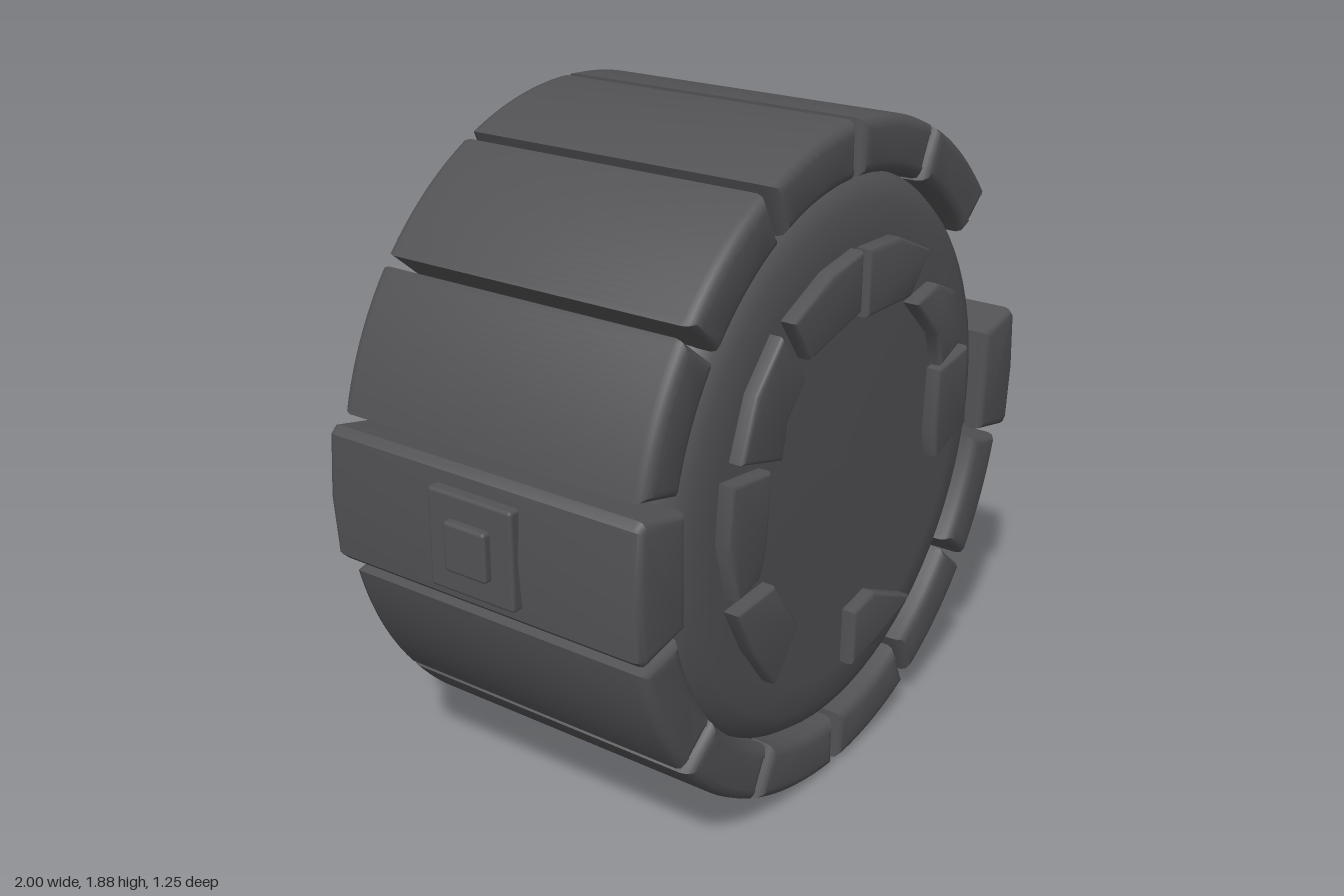
import * as THREE from 'three';
import { toCreasedNormals } from 'three/addons/utils/BufferGeometryUtils.js';
import { RoundedBoxGeometry } from 'three/addons/geometries/RoundedBoxGeometry.js';

const CY = 0.945; // height of the drum axis
const stone = new THREE.MeshStandardMaterial({ color: 0x525255 });
stone.name = 'dark stone';
const amber = new THREE.MeshStandardMaterial({ color: 0x9c8c58 });
amber.name = 'dull amber';

export function createModel() {
  const model = new THREE.Group();
  model.name = 'carvedStoneDrum';

  const add = (name, geometry, parent = model, material = stone) => {
    const mesh = new THREE.Mesh(geometry, material);
    mesh.name = name;
    parent.add(mesh);
    return mesh;
  };
  const group = (name) => {
    const g = new THREE.Group();
    g.name = name;
    model.add(g);
    return g;
  };
  const polygon = (points) => new THREE.Shape(points.map(([x, y]) => new THREE.Vector2(x, y)));
  // Slab with rounded edges, keeping its outline, between two z values
  const slab = (shape, z0, z1, bevel, rule = (x, y, z) => z) => {
    const geo = new THREE.ExtrudeGeometry(shape, {
      depth: z1 - z0 - 2 * bevel, bevelThickness: bevel, bevelSize: bevel,
      bevelOffset: -bevel, bevelSegments: 3, curveSegments: 10,
    });
    geo.translate(0, 0, z0 + bevel);
    const p = geo.attributes.position;
    for (let i = 0; i < p.count; i++) p.setZ(i, rule(p.getX(i), p.getY(i), p.getZ(i)));
    return toCreasedNormals(geo, 0.6);
  };

  // Drum core, turned around the z axis
  const profile = [[0, -0.395], [0.66, -0.39], [0.74, -0.375], [0.785, -0.345], [0.8, -0.3], [0.8, 0.44],
    [0.79, 0.5], [0.76, 0.54], [0.71, 0.562], [0.62, 0.572], [0, 0.575]];
  const core = new THREE.LatheGeometry(profile.map(([r, h]) => new THREE.Vector2(r, h)), 72);
  core.rotateX(Math.PI / 2);
  add('drumCore', core).position.y = CY;

  // Rim plates: fourteen places, two for the side blocks and one empty
  const rim = group('rimPlates');
  const half = Math.PI / 14 - 0.016;
  const sector = new THREE.Shape();
  sector.absarc(0, 0, 0.938, -half, half, false);
  sector.absarc(0, 0, 0.785, half, -half, true);
  const plateGeo = slab(sector, -0.385, 0.58, 0.032);
  for (let i = 2; i < 14; i++) {
    if (i === 7) continue;
    const plate = add('rimPlate', plateGeo, rim);
    plate.position.y = CY;
    plate.rotation.z = (i * Math.PI) / 7;
  }

  // Side blocks with stepped square bosses
  const blockGeo = slab(polygon([[0.76, -0.155], [0.92, -0.19], [0.942, -0.17], [0.955, 0],
    [0.942, 0.17], [0.92, 0.19], [0.76, 0.155]]), -0.41, 0.595, 0.025);
  for (const side of [1, -1]) {
    const block = group(side > 0 ? 'leftSideBlock' : 'rightSideBlock');
    block.position.y = CY;
    block.rotation.y = side > 0 ? 0 : Math.PI;
    const body = add('block', blockGeo, block);
    if (side < 0) body.position.z = -0.185;
    const z = 0.1 * side;
    add('squareBoss', new RoundedBoxGeometry(0.06, 0.27, 0.27, 2, 0.01), block).position.set(0.947, 0, z);
    add('squareBossCenter', new RoundedBoxGeometry(0.06, 0.135, 0.135, 2, 0.01), block).position.set(0.97, 0, z);
  }

  // Broken ring of tiles on the front
  const ring = group('frontTiles');
  [
    [[0.01, 1.55], [0.17, 1.545], [0.34, 1.47], [0.24, 1.36], [0.01, 1.365]],
    [[-0.02, 1.555], [-0.17, 1.53], [-0.345, 1.45], [-0.26, 1.33], [-0.02, 1.39]],
    [[-0.39, 1.43], [-0.5, 1.31], [-0.56, 1.15], [-0.38, 1.1], [-0.36, 1.2], [-0.28, 1.29]],
    [[-0.6, 1.11], [-0.615, 0.95], [-0.57, 0.785], [-0.47, 0.81], [-0.44, 0.9], [-0.43, 1.09]],
    [[-0.575, 0.75], [-0.5, 0.61], [-0.39, 0.465], [-0.28, 0.6], [-0.4, 0.76]],
    [[0.01, 0.335], [0.15, 0.35], [0.33, 0.42], [0.12, 0.52], [0.01, 0.5]],
    [[0.6, 1.115], [0.615, 0.87], [0.44, 0.82], [0.42, 0.9], [0.43, 1.09]],
    [[0.57, 1.15], [0.5, 1.31], [0.4, 1.355], [0.27, 1.33], [0.41, 1.2], [0.44, 1.1]],
  ].forEach((outline) => add('frontTile', slab(polygon(outline), 0.55, 0.615, 0.013), ring));

  // Brow ridge on the back face
  const face = group('carvedFace');
  const browOutline = [[0.56, 1.27], [0.3, 1.225], [0, 1.255], [-0.3, 1.25], [-0.46, 1.21], [-0.59, 1.1],
    [-0.5, 1.07], [-0.28, 1.11], [0, 1.16], [0.3, 1.11], [0.56, 1.11], [0.6, 1.19]];
  add('brow', slab(polygon(browOutline), -0.505, -0.37, 0.034,
    (x, y, z) => (x < -0.42 && z < -0.43 ? z + (-0.42 - x) * 0.35 : z)), face);

  // Nose, thicker towards the bridge
  const noseOutline = [[0.1, 1.13], [-0.1, 1.13], [-0.25, 0.82], [-0.2, 0.77], [0.2, 0.77], [0.25, 0.82]];
  add('nose', slab(polygon(noseOutline), -0.56, -0.37, 0.025,
    (x, y, z) => (z < -0.45 ? z - (y - 0.95) * 0.22 : z)), face);

  // Bulging bars with rounded ends, used for lids and lips
  const bar = (name, points, radius, depth) => {
    const path = new THREE.CatmullRomCurve3(points.map(([x, y, z]) => new THREE.Vector3(x, y, z / depth)));
    const holder = new THREE.Group();
    holder.name = name;
    holder.scale.z = depth;
    face.add(holder);
    add(name + 'Bar', new THREE.TubeGeometry(path, 24, radius, 16), holder);
    for (const t of [0, 1]) {
      add(name + 'End', new THREE.SphereGeometry(radius, 16, 12), holder).position.copy(path.getPoint(t));
    }
  };
  bar('upperLip', [[0.34, 0.58, -0.45], [0.18, 0.605, -0.485], [0, 0.61, -0.495], [-0.18, 0.605, -0.485], [-0.34, 0.58, -0.45]], 0.083, 1.5);
  bar('lowerLip', [[0.32, 0.425, -0.45], [0.17, 0.44, -0.5], [0, 0.445, -0.515], [-0.17, 0.44, -0.5], [-0.32, 0.425, -0.45]], 0.08, 1.55);

  // Eyes, lids and nostrils
  for (const s of [1, -1]) {
    bar('upperLid', [[s * 0.17, 1.035, -0.405], [s * 0.29, 1.06, -0.42], [s * 0.42, 1.035, -0.405]], 0.037, 1.2);
    bar('lowerLid', [[s * 0.17, 0.945, -0.4], [s * 0.29, 0.925, -0.41], [s * 0.42, 0.945, -0.4]], 0.032, 1.2);
    const eye = add('eye', new THREE.SphereGeometry(1, 24, 16), face, amber);
    eye.scale.set(0.15, 0.055, 0.05);
    eye.position.set(s * 0.295, 0.99, -0.385);
    const wing = add('noseWing', new THREE.SphereGeometry(1, 20, 14), face);
    wing.scale.set(0.075, 0.06, 0.1);
    wing.position.set(s * 0.235, 0.785, -0.455);
    const nostril = add('nostril', new THREE.SphereGeometry(1, 16, 12), face);
    nostril.scale.set(0.05, 0.035, 0.08);
    nostril.position.set(s * 0.11, 0.76, -0.46);
  }

  // Chin plate
  const chinOutline = [[0.24, 0.4], [0.24, 0.27], [0.12, 0.225], [-0.12, 0.225], [-0.24, 0.27], [-0.24, 0.4]];
  add('chin', slab(polygon(chinOutline), -0.47, -0.36, 0.025), face);

  // Forehead tiles
  [
    [[0.45, 1.33], [0.29, 1.52], [0.31, 1.39]],
    [[0.1, 1.47], [0.1, 1.55], [0.25, 1.53], [0.22, 1.45]],
    [[-0.1, 1.47], [-0.1, 1.55], [-0.25, 1.53], [-0.22, 1.45]],
    [[-0.37, 1.51], [-0.48, 1.47], [-0.47, 1.36], [-0.34, 1.41]],
  ].forEach((outline) => add('foreheadTile', slab(polygon(outline), -0.42, -0.37, 0.01), face));
  add('foreheadBoss', new RoundedBoxGeometry(0.19, 0.1, 0.08, 2, 0.015), face).position.set(0, 1.54, -0.405);

  return model;
}
